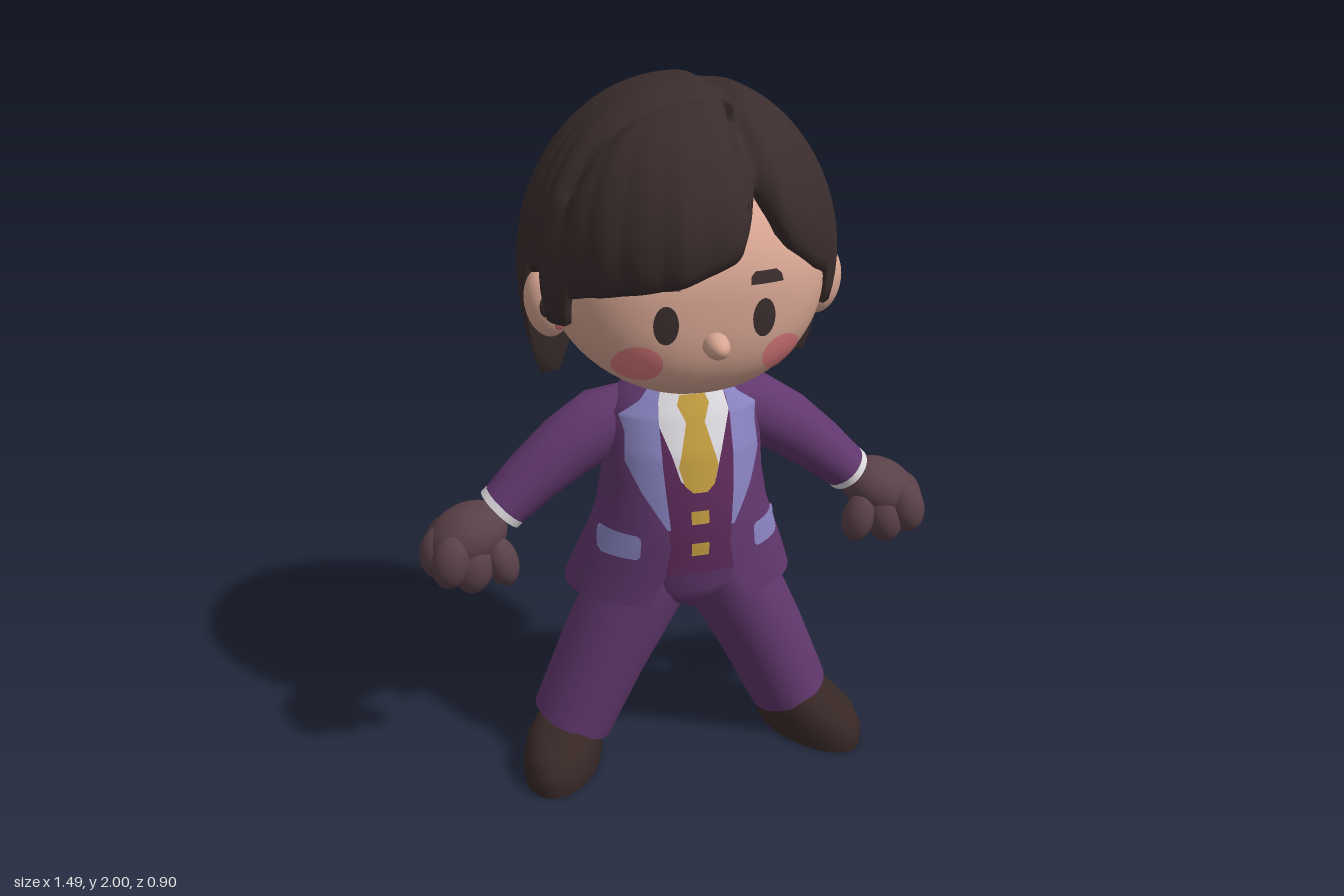
import * as THREE from 'three';

const mat = (name, color) => new THREE.MeshStandardMaterial({ name, color, side: THREE.DoubleSide });
const M = {
  suit: mat('suit purple', 0x62386e), vest: mat('vest plum', 0x5c2a59),
  hair: mat('dark brown hair', 0x3b2d2d), skin: mat('skin', 0xd8a693),
  blush: mat('blush pink', 0xdb7a7d), glove: mat('glove brown', 0x5a4149),
  shoe: mat('shoe brown', 0x372826), trim: mat('lavender trim', 0x8883bf),
  shirt: mat('shirt white', 0xdcd9de), gold: mat('gold', 0xc29c40),
};
const RAD = Math.PI / 180;

// Linear lookup in rows of [key, ...values], keys ascending.
function lookup(table, key, col = 1) {
  let i = 1;
  while (i < table.length - 1 && table[i][0] < key) i++;
  const a = table[i - 1], b = table[i];
  const t = THREE.MathUtils.clamp((key - a[0]) / (b[0] - a[0]), 0, 1);
  return a[col] + (b[col] - a[col]) * t;
}

// Surface through rings of points, listed from top to bottom.
function loft(rings, closed) {
  const n = rings[0].length, index = [];
  for (let i = 0; i < rings.length - 1; i++) {
    for (let j = 0; j < (closed ? n : n - 1); j++) {
      const k = (j + 1) % n;
      const a = i * n + j, b = a + n, d = i * n + k, c = d + n;
      index.push(a, b, d, b, c, d);
    }
  }
  const g = new THREE.BufferGeometry();
  g.setAttribute('position', new THREE.Float32BufferAttribute(rings.flat(2), 3));
  g.setIndex(index);
  g.computeVertexNormals();
  return g;
}

// Oval sections [x, y, z, radius, depth radius, gap] along a path; gap leaves the front open.
function limb(secs, n = 36) {
  const open = secs[0].length > 5;
  const rings = secs.map(([x, y, z, r1, r2, gap = 0], i) => {
    const p = secs[Math.max(i - 1, 0)], q = secs[Math.min(i + 1, secs.length - 1)];
    const len = Math.hypot(q[0] - p[0], q[1] - p[1]);
    const nx = -(q[1] - p[1]) / len, ny = (q[0] - p[0]) / len;
    const start = open ? Math.asin(gap / r1) : 0;
    return Array.from({ length: n }, (_, j) => {
      const t = start + (2 * Math.PI - 2 * start) * j / (open ? n - 1 : n);
      const s = r1 * Math.sin(t);
      return [x + nx * s, y + ny * s, z + r2 * Math.cos(t)];
    });
  });
  if (open) return loft(rings, false);
  const cap = (i) => rings[i].map(() => secs[i].slice(0, 3));
  const last = rings.length - 1;
  return loft([cap(0), rings[0], ...rings, rings[last], cap(last)], true);
}

// Thin panel from rows [y, left x, right x], laid on a surface z = f(x, y).
function panel(rows, f) {
  const out = [], cols = 12, steps = 6;
  for (let i = 0; i < rows.length - 1; i++) {
    for (let k = i ? 1 : 0; k <= steps; k++) {
      const [y, l, r] = rows[i].map((v, c) => v + (rows[i + 1][c] - v) * k / steps);
      out.push(Array.from({ length: cols + 1 }, (_, j) => {
        const x = l + (r - l) * j / cols;
        return [x, y, f(x, y)];
      }));
    }
  }
  return loft(out, false);
}
const flip = (rows, s) => rows.map(([y, l, r]) => (s > 0 ? [y, l, r] : [y, -r, -l]));
const oval = (cx, cy, rx, ry) => Array.from({ length: 13 }, (_, i) => {
  const t = Math.PI * i / 12, w = rx * Math.sin(t);
  return [cy + ry * Math.cos(t), cx - w, cx + w];
});

// Torso sections: y, centre z, half width, half depth, half opening.
const TORSO = [
  [0.56, -0.03, 0.33, 0.25, 0.14], [0.65, -0.01, 0.3, 0.23, 0.1], [0.74, 0.01, 0.265, 0.215, 0.085],
  [0.8, 0.015, 0.245, 0.21, 0.09], [0.9, 0.015, 0.228, 0.2, 0.1], [1.0, 0.01, 0.225, 0.185, 0.1],
  [1.1, 0.005, 0.215, 0.15, 0.1], [1.15, 0, 0.17, 0.13, 0.1], [1.19, 0, 0.115, 0.11, 0.09],
];
const INSET = 0.018;
const onTorso = (off, inset = 0) => (x, y) => {
  const t = Math.min(Math.abs(x) / (lookup(TORSO, y, 2) - inset), 0.98);
  return lookup(TORSO, y, 1) + (lookup(TORSO, y, 3) - inset) * Math.sqrt(1 - t * t) + off;
};

// Head: rounded across, with full cheeks towards the front.
const HEAD = { y: 1.48, z: 0.025, rx: 0.372, ry: 0.312, rz: 0.315 };
function headSize(y) {
  const u = Math.min(1, Math.abs(y - HEAD.y) / HEAD.ry), p = y < HEAD.y ? 3 : 2;
  return [HEAD.rx * Math.sqrt(1 - u * u), HEAD.rz * (1 - u ** p) ** (1 / p)];
}
const onFace = (x, y) => {
  const [rx, rz] = headSize(y);
  return HEAD.z + 0.006 + rz * (1 - Math.min(0.98, Math.abs(x) / rx) ** 2.5) ** 0.4;
};
function headGeometry() {
  const round = (v) => Math.sign(v) * Math.abs(v) ** 0.8;
  return loft(Array.from({ length: 41 }, (_, i) => {
    const y = HEAD.y + HEAD.ry * Math.cos(Math.PI * i / 40), [rx, rz] = headSize(y);
    return Array.from({ length: 64 }, (_, j) => {
      const a = 2 * Math.PI * j / 64;
      return [rx * round(Math.sin(a)), y, HEAD.z + rz * round(Math.cos(a))];
    });
  }), true);
}

// Hair outline radius and hairline height by angle from the front.
const HAIR_R = [[-180, 0.455], [-130, 0.455], [-90, 0.435], [-60, 0.435], [-45, 0.455], [-15, 0.482], [6, 0.472],
  [15, 0.405], [20, 0.39], [27, 0.412], [45, 0.42], [65, 0.425], [90, 0.435], [130, 0.455], [180, 0.455]];
const HAIRLINE = [[-180, 1.19], [-97, 1.19], [-92, 1.5], [-78, 1.52], [-75, 1.4], [-63, 1.4], [-60, 1.48],
  [-50, 1.5], [-30, 1.53], [-14, 1.555], [4, 1.61], [13, 1.69], [19, 1.77], [26, 1.68], [35, 1.59], [50, 1.52],
  [60, 1.49], [63, 1.4], [75, 1.4], [78, 1.52], [92, 1.5], [97, 1.19], [180, 1.19]];

function hairGeometry() {
  const n = 240, rows = 30, rings = [];
  for (let i = 0; i <= rows + 2; i++) {
    const s = Math.min(i / rows, 1), ring = [];
    for (let j = 0; j < n; j++) {
      const deg = -180 + 360 * j / n, a = deg * RAD;
      const front = Math.max(0, Math.cos(a));
      const rib = Math.abs(Math.cos(a * 13));
      const edge = lookup(HAIRLINE, deg) + (Math.abs(deg) > 97 ? 0.025 * (1 - rib) : 0);
      let y = edge + (2 - edge) * (1 - s * s);
      const p = 2 + 0.4 * front;
      let w = y > 1.48 ? Math.max(0, 1 - ((y - 1.48) / 0.52) ** p) ** (1 / p) : 1 - 1.2 * (1.48 - y) ** 2;
      w *= 1 - (0.03 + 0.05 * front) * s ** 12;
      w *= 1 - 0.035 * (1 - rib) * s * (1 - 0.7 * front);
      // Underside folds in towards the head.
      if (i > rows) { w *= i === rows + 1 ? 0.87 : 0.74; y += i === rows + 1 ? 0.01 : 0.14; }
      const r = lookup(HAIR_R, deg) * w, x = r * Math.sin(a), z = r * Math.cos(a);
      // Side parting and the crease behind the fringe.
      if (i <= rows && y > 1.75) {
        if (z > -0.15) y -= 0.025 * Math.exp(-(((x - 0.08) / 0.035) ** 2)) * Math.min(1, (z + 0.15) / 0.1);
        if (x < 0.08) y -= 0.025 * Math.exp(-(((z - 0.17) / 0.035) ** 2));
      }
      ring.push([x, y, z]);
    }
    rings.push(ring);
  }
  return loft(rings, true);
}

export function createModel() {
  const model = new THREE.Group();
  model.name = 'suitedFigure';
  const add = (name, geo, material) => {
    const m = new THREE.Mesh(geo, material);
    m.name = name;
    model.add(m);
    return m;
  };
  const blob = (name, material, pos, size, tilt = 0) => {
    const m = add(name, new THREE.SphereGeometry(1, 32, 22), material);
    m.position.set(...pos);
    m.scale.set(...size);
    m.rotation.z = tilt;
  };

  // Head
  add('head', headGeometry(), M.skin);
  blob('nose', M.skin, [0, 1.368, 0.34], [0.034, 0.034, 0.06]);
  add('hair', hairGeometry(), M.hair);
  blob('innerEar', M.hair, [-0.385, 1.435, 0.092], [0.03, 0.05, 0.028]);
  blob('innerEarLobe', M.blush, [-0.355, 1.395, 0.09], [0.024, 0.035, 0.026]);

  // Torso: waistcoat, jacket, shirt, tie
  const top = [...TORSO].reverse();
  add('jacket', limb(top.map(([y, z, rx, rz, gap]) => [0, y, z, rx, rz, gap]), 60), M.suit);
  add('vest', limb(top.slice(0, 8).map(([y, z, rx, rz]) => [0, y, z, rx - INSET, rz - INSET]), 48), M.vest);
  add('pelvis', limb([[0.01, 0.66, -0.015, 0.23, 0.18], [0.012, 0.57, -0.015, 0.21, 0.165],
    [0.013, 0.53, -0.015, 0.15, 0.145], [0.014, 0.49, -0.015, 0.04, 0.11]]), M.suit);
  add('neck', limb([[0, 1.24, 0.01, 0.09, 0.09], [0, 1.14, 0.01, 0.1, 0.1]]), M.shirt);
  add('collar', limb([[0, 1.21, -0.005, 0.115, 0.115, 0.08], [0, 1.17, -0.005, 0.15, 0.13, 0.1]]), M.trim);
  add('shirt', panel([[1.18, -0.09, 0.09], [1.1, -0.105, 0.105], [1.0, -0.07, 0.07],
    [0.93, -0.05, 0.05], [0.9, -0.02, 0.02]], onTorso(0.004, INSET)), M.shirt);
  add('tie', panel([[1.155, -0.035, 0.035], [1.13, -0.045, 0.045], [1.085, -0.026, 0.026],
    [0.97, -0.056, 0.056], [0.92, -0.042, 0.042], [0.9, -0.02, 0.02]], onTorso(0.014, INSET)), M.gold);
  for (const y of [0.825, 0.73]) {
    add('vestButton', panel([[y + 0.019, -0.025, 0.025], [y - 0.019, -0.025, 0.025]], onTorso(0.006, INSET)), M.gold);
  }

  for (const s of [1, -1]) {
    const side = s > 0 ? 'left' : 'right';

    // Face details and ear
    add(side + 'Eye', panel(oval(s * 0.13, 1.43, 0.032, 0.052), onFace), M.hair);
    add(side + 'Brow', panel(flip([[1.553, 0.105, 0.165], [1.54, 0.093, 0.18], [1.52, 0.093, 0.185]], s), onFace), M.hair);
    add(side + 'Cheek', panel(oval(s * 0.193, 1.317, 0.06, 0.055), onFace), M.blush);
    blob(side + 'Ear', M.skin, [s * 0.378, 1.43, 0.058], [0.06, 0.096, 0.06], -s * 0.15);

    // Lapel and pocket flap
    add(side + 'Lapel', panel(flip([[1.185, 0.08, 0.1], [1.14, 0.095, 0.14], [1.1, 0.1, 0.195], [1.06, 0.1, 0.185],
      [0.98, 0.1, 0.19], [0.9, 0.095, 0.155], [0.8, 0.086, 0.095]], s), onTorso(0.008)), M.trim);
    add(side + 'PocketFlap', panel(flip([[0.775, 0.17, 0.25], [0.765, 0.162, 0.257],
      [0.715, 0.165, 0.262], [0.705, 0.175, 0.255]], s), onTorso(0.008)), M.trim);

    // Arm, cuff and glove
    add(side + 'Sleeve', limb([[s * 0.12, 1.08, -0.02, 0.075, 0.08], [s * 0.22, 1.045, -0.02, 0.098, 0.095],
      [s * 0.32, 0.982, -0.02, 0.092, 0.094], [s * 0.42, 0.902, -0.02, 0.08, 0.088],
      [s * 0.505, 0.825, -0.015, 0.068, 0.082]]), M.suit);
    add(side + 'Cuff', limb([[s * 0.5, 0.83, -0.015, 0.069, 0.083], [s * 0.515, 0.815, -0.015, 0.069, 0.083]]), M.shirt);
    blob(side + 'Palm', M.glove, [s * 0.61, 0.752, -0.005], [0.118, 0.085, 0.108], -s * 0.45);
    blob(side + 'Thumb', M.glove, [s * 0.527, 0.69, 0.055], [0.046, 0.075, 0.05], -s * 0.25);
    for (const [x, y, z] of [[0.605, 0.685, 0.06], [0.668, 0.712, 0.07], [0.69, 0.712, -0.005], [0.665, 0.708, -0.075]]) {
      blob(side + 'Finger', M.glove, [s * x, y, z], [0.054, 0.078, 0.054], s * 0.2);
    }

    // Leg and shoe, toes turned out
    add(side + 'TrouserLeg', limb([[s * 0.09, 0.63, -0.015, 0.115, 0.15], [s * 0.135, 0.54, -0.015, 0.138, 0.155],
      [s * 0.24, 0.33, -0.02, 0.128, 0.145], [s * 0.335, 0.115, -0.025, 0.118, 0.135]]
      .map(([x, ...rest]) => [x + 0.013, ...rest])), M.suit);
    const shoe = add(side + 'Shoe', limb([[0.14, -0.05, 0.06, 0.09], [0.128, -0.035, 0.085, 0.135],
      [0.1, -0.01, 0.1, 0.178], [0.06, 0, 0.107, 0.197], [0.025, 0, 0.11, 0.2], [0, 0, 0.106, 0.196]]
      .map(([y, z, rx, rz]) => [0, y, z, rx, rz])), M.shoe);
    shoe.position.set(s * 0.381 + 0.014, 0, 0.036);
    shoe.rotation.y = s * 0.42;
  }
  return model;
}
